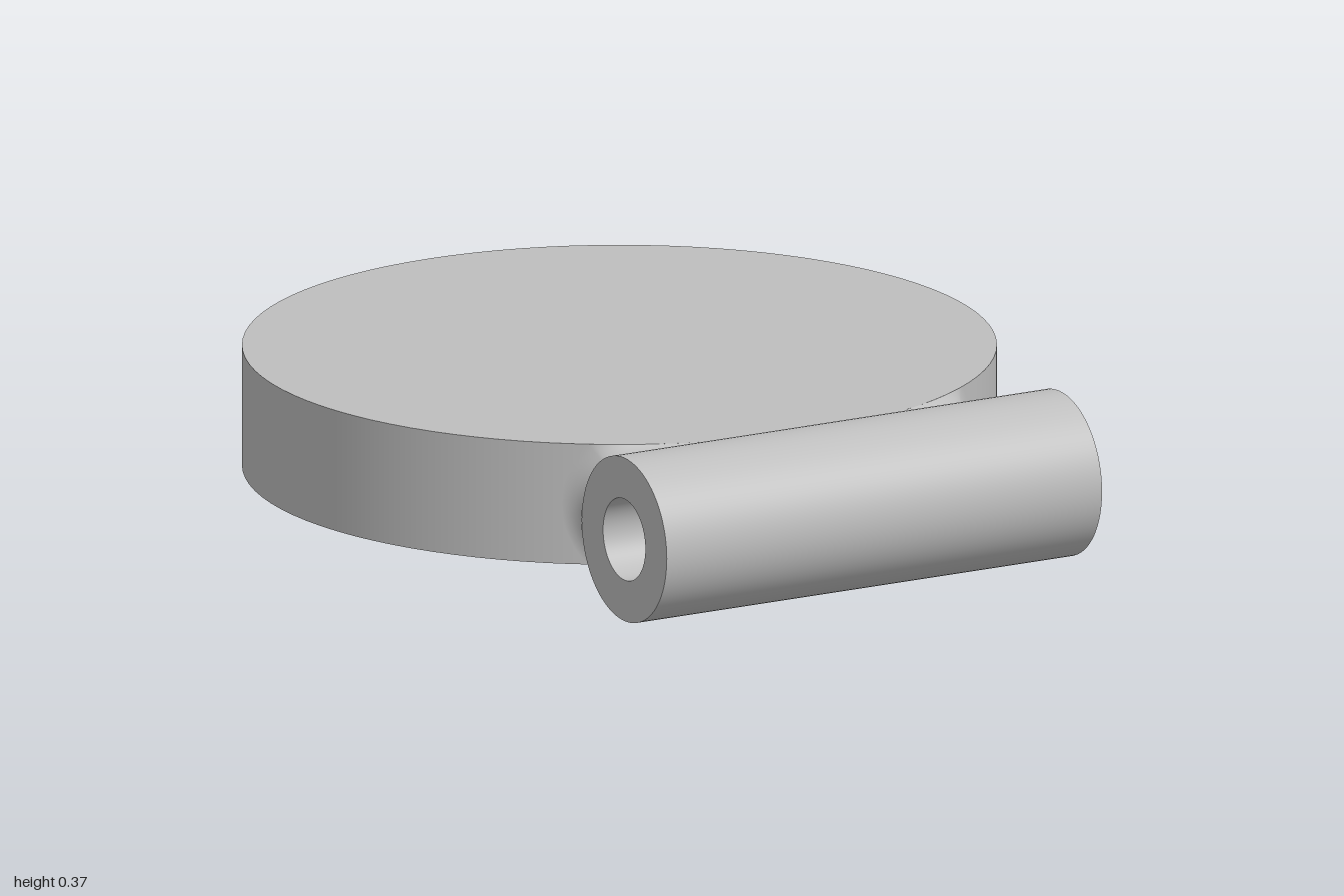
import * as THREE from 'three';
import { mergeGeometries } from 'three/addons/utils/BufferGeometryUtils.js';

const DISC = { r: 0.835, z: -0.165, half: 0.138 };
const TUBE = { r: 0.187, bore: 0.093, z: 0.813, half: 0.557 };
const MID = 0.187;   // height of the shared middle plane
const BLEND = 0.08;  // fillet radius

// Hollow barrel: one two-point lathe per face keeps the rims sharp
function tubeGeometry() {
  const { r, bore, half } = TUBE;
  const profile = [[r, -half], [r, half], [bore, half], [bore, -half], [r, -half]]
    .map(([x, y]) => new THREE.Vector2(x, y));
  const faces = [];
  for (let i = 0; i < 4; i++) faces.push(new THREE.LatheGeometry([profile[i], profile[i + 1]], 72));
  return mergeGeometries(faces).rotateZ(-Math.PI / 2);
}

// Ball rolling between disc and barrel: its centre and its contact on the disc (y from MID)
function ballStations() {
  const stations = [];
  const reach = TUBE.r + BLEND;
  const h = DISC.half;
  // Along the upright side of the disc
  for (let i = 0; i <= 12; i++) {
    const y = h * i / 12;
    const dz = TUBE.z - Math.sqrt(reach * reach - y * y) - DISC.z;
    const R = DISC.r + BLEND;
    const x = Math.sqrt(R * R - dz * dz);
    const k = DISC.r / R;
    stations.push({
      centre: new THREE.Vector3(x, y, DISC.z + dz),
      contact: new THREE.Vector3(x * k, y, DISC.z + dz * k),
    });
  }
  // Around the edge of the disc, then resting on its flat face
  const last = stations[stations.length - 1].contact;
  const start = Math.atan2(last.x, last.z - DISC.z);
  for (let i = 1; i <= 32; i++) {
    const a = start * (1 - i / 32);
    const edge = new THREE.Vector3(DISC.r * Math.sin(a), h, DISC.z + DISC.r * Math.cos(a));
    const place = (p) => new THREE.Vector3(Math.sin(a) * Math.cos(p), Math.sin(p), Math.cos(a) * Math.cos(p))
      .multiplyScalar(BLEND).add(edge);
    const gap = (c) => Math.hypot(c.y, c.z - TUBE.z) - reach;
    let lo = 0, hi = Math.PI / 2;
    if (gap(place(hi)) < 0) {
      const y = h + BLEND;
      const z = TUBE.z - Math.sqrt(reach * reach - y * y);
      stations.push({ centre: new THREE.Vector3(edge.x, y, z), contact: new THREE.Vector3(edge.x, h, z) });
      continue;
    }
    for (let n = 0; n < 30; n++) {
      const m = (lo + hi) / 2;
      if (gap(place(m)) < 0) lo = m; else hi = m;
    }
    stations.push({ centre: place(hi), contact: edge });
  }
  return stations;
}

// Concave arcs joined into a skin, mirrored by sx and sy
function filletGeometry(sx, sy) {
  const steps = 12, pos = [], nor = [], index = [];
  const stations = ballStations();
  const k = TUBE.r / (TUBE.r + BLEND);
  stations.forEach(({ centre, contact }, i) => {
    const onTube = new THREE.Vector3(centre.x, centre.y * k, TUBE.z + (centre.z - TUBE.z) * k);
    const from = contact.clone().sub(centre).normalize();
    const to = onTube.sub(centre).normalize();
    const angle = Math.max(from.angleTo(to), 1e-4);
    for (let j = 0; j <= steps; j++) {
      const t = j / steps;
      const d = from.clone().multiplyScalar(Math.sin((1 - t) * angle))
        .addScaledVector(to, Math.sin(t * angle)).divideScalar(Math.sin(angle));
      const p = centre.clone().addScaledVector(d, BLEND);
      pos.push(sx * Math.min(p.x, TUBE.half), MID + sy * p.y, p.z);
      nor.push(-sx * d.x, -sy * d.y, -d.z);
      if (i && j) {
        const b = i * (steps + 1) + j, a = b - 1, c = a - steps - 1, e = b - steps - 1;
        if (sx * sy > 0) index.push(c, a, e, a, b, e);
        else index.push(c, e, a, a, e, b);
      }
    }
  });
  const g = new THREE.BufferGeometry();
  g.setAttribute('position', new THREE.Float32BufferAttribute(pos, 3));
  g.setAttribute('normal', new THREE.Float32BufferAttribute(nor, 3));
  g.setIndex(index);
  return g;
}

export function createModel() {
  const group = new THREE.Group();
  const grey = new THREE.MeshStandardMaterial({ color: 0xbebebe });
  grey.name = 'plain grey';
  const add = (name, geometry, y = 0, z = 0) => {
    const mesh = new THREE.Mesh(geometry, grey);
    mesh.name = name;
    mesh.position.set(0, y, z);
    group.add(mesh);
  };

  add('disc', new THREE.CylinderGeometry(DISC.r, DISC.r, DISC.half * 2, 96), MID, DISC.z);
  add('hingeBarrel', tubeGeometry(), MID, TUBE.z);

  // Four mirrored quarters of the blend
  const quarters = [];
  for (const sx of [1, -1]) for (const sy of [1, -1]) quarters.push(filletGeometry(sx, sy));
  add('blendFillet', mergeGeometries(quarters));
  return group;
}
